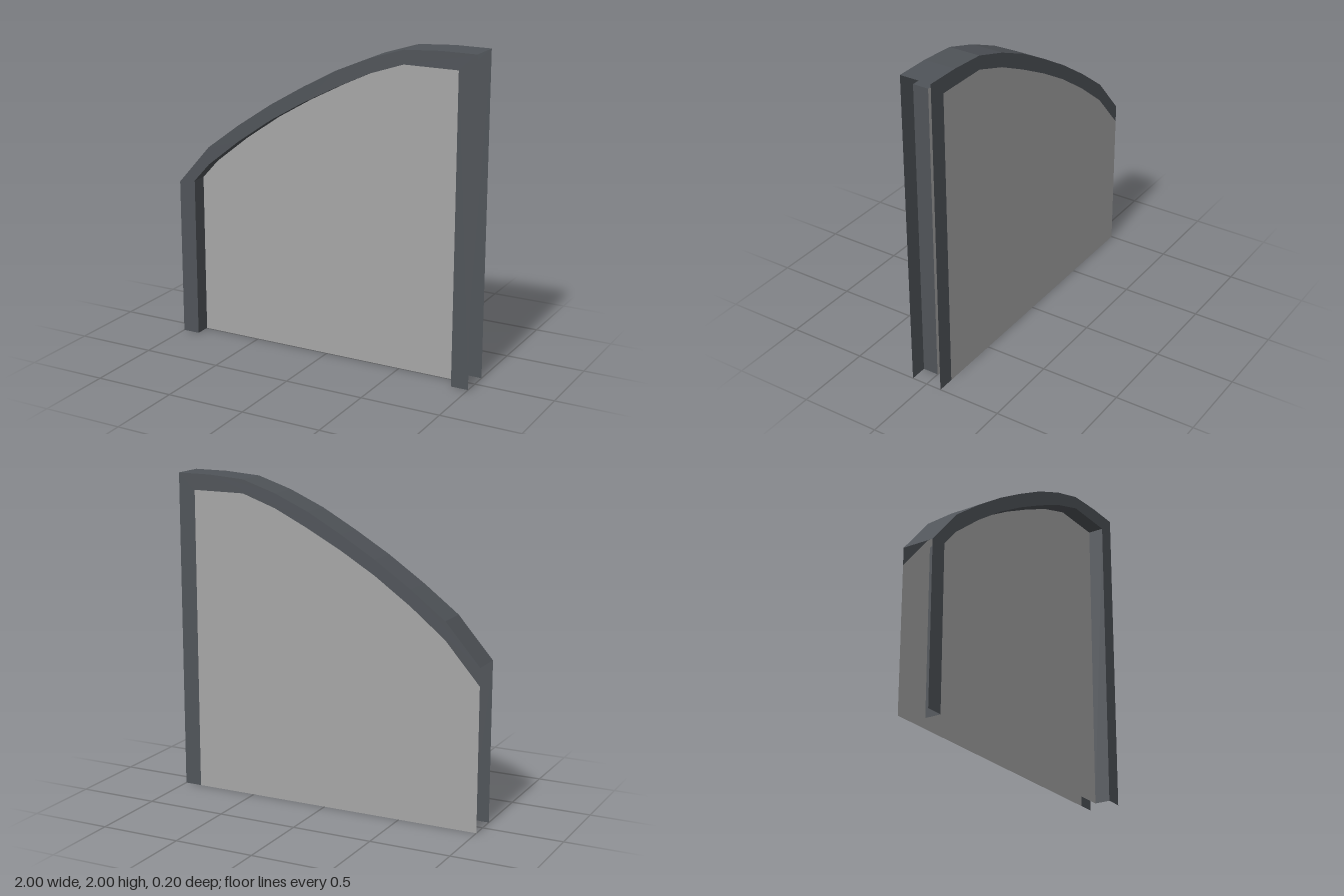
import * as THREE from 'three';

export function createModel() {
  const group = new THREE.Group();
  const frameMat = new THREE.MeshStandardMaterial({ color: 0x505459, side: THREE.DoubleSide });
  frameMat.name = 'dark frame';
  const panelMat = new THREE.MeshStandardMaterial({ color: 0xa6a6a6, side: THREE.DoubleSide });
  panelMat.name = 'grey panel';

  const front = 0.1, middle = 0, back = -0.1;

  // Outer edge of the arch, and the edge of the opening below it
  const outer = [[-1, 1], [-0.78, 1.25], [-0.56, 1.415], [-0.33, 1.57], [-0.11, 1.7],
    [0.11, 1.82], [0.33, 1.915], [0.55, 1.985], [0.78, 2], [1, 2]];
  const inner = [[-0.89, 1.02], [-0.78, 1.14], [-0.56, 1.315], [-0.33, 1.475], [-0.11, 1.605],
    [0.11, 1.72], [0.33, 1.825], [0.55, 1.9], [0.89, 1.9]];
  const opening = [[-0.89, 0], ...inner, [0.89, 0]];
  const backOpening = [[-1, 0], [-1, 0.89], ...inner.slice(1), [0.89, 0]];

  const add = (name, geometry, material) => {
    const mesh = new THREE.Mesh(geometry, material);
    mesh.name = name;
    group.add(mesh);
  };

  // Flat sheet facing the front or the back
  const sheet = (name, points, z, material) => {
    const shape = new THREE.Shape(points.map(([x, y]) => new THREE.Vector2(x, y)));
    const geometry = new THREE.ShapeGeometry(shape);
    if (z < 0) geometry.rotateY(Math.PI).scale(1, 1, 1);
    geometry.translate(0, 0, z);
    add(name, geometry, material);
  };
  // Mirrored outline so that a sheet turned to the back lands in place
  const turned = (points) => points.map(([x, y]) => [-x, y]);

  // Faceted strip following a profile between two depths
  const strip = (name, points, z0, z1, material) => {
    const pos = [];
    for (let i = 0; i < points.length - 1; i++) {
      const [ax, ay] = points[i], [bx, by] = points[i + 1];
      pos.push(ax, ay, z1, bx, by, z1, bx, by, z0, ax, ay, z1, bx, by, z0, ax, ay, z0);
    }
    const geometry = new THREE.BufferGeometry();
    geometry.setAttribute('position', new THREE.Float32BufferAttribute(pos, 3));
    geometry.computeVertexNormals();
    add(name, geometry, material);
  };

  // Front frame: two posts joined by the arch
  sheet('frontFrame', [[-1, 0], ...outer, [1, 0], ...opening.slice().reverse()], front, frameMat);

  // Jambs and soffit lining the recess, with the panel set inside
  strip('recessLining', opening, middle, front, frameMat);
  sheet('frontPanel', opening, middle, panelMat);

  // Curved top over the full depth, open at both ends
  strip('archTop', outer, back, front, frameMat);

  // Back frame has a single post; its panel runs on to the low end
  sheet('backFrame', turned([...outer, [1, 0], ...backOpening.slice(1).reverse()]), back, frameMat);
  sheet('backPanel', turned(backOpening), back, panelMat);

  return group;
}
